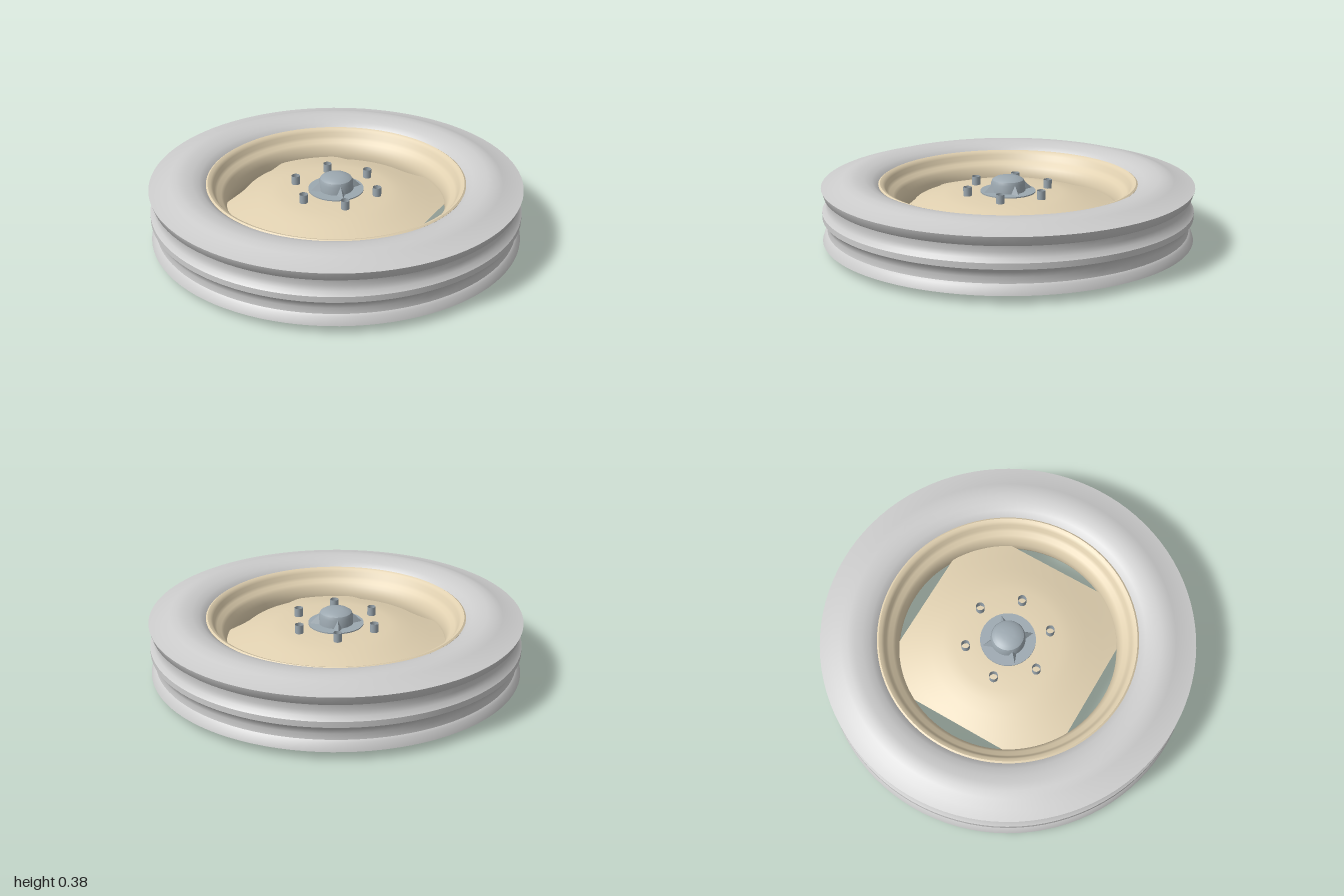
import * as THREE from 'three';
import { toCreasedNormals } from 'three/addons/utils/BufferGeometryUtils.js';
import { ConvexGeometry } from 'three/addons/geometries/ConvexGeometry.js';

const paint = (color) => new THREE.MeshStandardMaterial({ color, side: THREE.DoubleSide });
const MID = 0.1875; // mid-plane of the wheel

// Takes the upper half of a profile and adds its mirror below the mid-plane
function mirrored(half) {
  const lower = half.slice().reverse().map(([r, y]) => [r, 2 * MID - y]);
  return half.concat(lower);
}

function lathe(name, profile, material, segments = 96) {
  const points = profile.map(([r, y]) => new THREE.Vector2(r, y));
  const geometry = toCreasedNormals(new THREE.LatheGeometry(points, segments), 0.6);
  const mesh = new THREE.Mesh(geometry, material);
  mesh.name = name;
  return mesh;
}

export function createModel() {
  const wheel = new THREE.Group();
  wheel.name = 'wheel';
  const rubber = paint(0xcccccc);
  const cream = paint(0xe0d0b0);
  const steel = paint(0x9ca8b0);

  // Tyre: rounded sidewalls and a tread with three ribs
  wheel.add(lathe('tyre', mirrored([
    [0.685, 0.315], [0.70, 0.335], [0.73, 0.355], [0.77, 0.368], [0.81, 0.374], [0.85, 0.375],
    [0.89, 0.362], [0.94, 0.343], [1.0, 0.332], [0.986, 0.29], [0.974, 0.28],
    [0.97, 0.25], [0.978, 0.222], [0.998, 0.203],
  ]), rubber));

  // Rim: rolled lips, sloping bead seats and a tapering well
  wheel.add(lathe('rim', mirrored([
    [0.675, 0.315], [0.692, 0.322], [0.697, 0.333], [0.688, 0.339], [0.672, 0.333], [0.66, 0.318],
    [0.652, 0.295], [0.64, 0.28], [0.618, 0.268], [0.604, 0.25], [0.59, 0.21],
  ]), cream));

  // Domed disc, trimmed square so that four openings are left beside the rim
  const disc = lathe('disc', [
    [0, 0.275], [0.15, 0.275], [0.29, 0.271], [0.35, 0.26], [0.42, 0.243], [0.51, 0.215], [0.60, 0.19],
  ], cream, 128);
  const p = disc.geometry.attributes.position;
  for (let i = 0; i < p.count; i++) {
    p.setX(i, THREE.MathUtils.clamp(p.getX(i), -0.52, 0.52));
    p.setZ(i, THREE.MathUtils.clamp(p.getZ(i), -0.52, 0.52));
  }
  wheel.add(disc);

  // Hub behind the disc: flange, neck and hollow sleeve
  wheel.add(lathe('hub', [
    [0, 0.262], [0.26, 0.262], [0.275, 0.25], [0.275, 0.212], [0.15, 0.21], [0.13, 0.195], [0.115, 0.17],
    [0.112, 0.13], [0.112, 0.045], [0.088, 0.045], [0.088, 0.12], [0, 0.12],
  ], steel, 48));

  // Cap in front of the disc, on a thin round plate
  wheel.add(lathe('hubPlate', [[0.15, 0.272], [0.15, 0.281], [0, 0.281]], steel, 32));
  wheel.add(lathe('hubCap', [
    [0.094, 0.275], [0.092, 0.325], [0.085, 0.342], [0.068, 0.353], [0.035, 0.359], [0, 0.36],
  ], steel, 32));

  // Four pointed webs bracing the cap
  const webGeometry = new ConvexGeometry([
    [0.142, 0.279, 0], [0.07, 0.279, 0.032], [0.07, 0.279, -0.032], [0.08, 0.34, 0],
  ].map((c) => new THREE.Vector3(...c)));
  for (let i = 0; i < 4; i++) {
    const web = new THREE.Mesh(webGeometry, steel);
    web.name = 'capWeb';
    web.rotation.y = Math.PI / 4 + i * Math.PI / 2;
    wheel.add(web);
  }

  // Ring of six open-ended studs
  const studGeometry = new THREE.CylinderGeometry(0.023, 0.023, 0.055, 16, 1, true);
  for (let i = 0; i < 6; i++) {
    const a = -0.19 + i * Math.PI / 3;
    const stud = new THREE.Mesh(studGeometry, steel);
    stud.name = 'stud';
    stud.position.set(0.23 * Math.cos(a), 0.293, 0.23 * Math.sin(a));
    wheel.add(stud);
  }

  return wheel;
}
